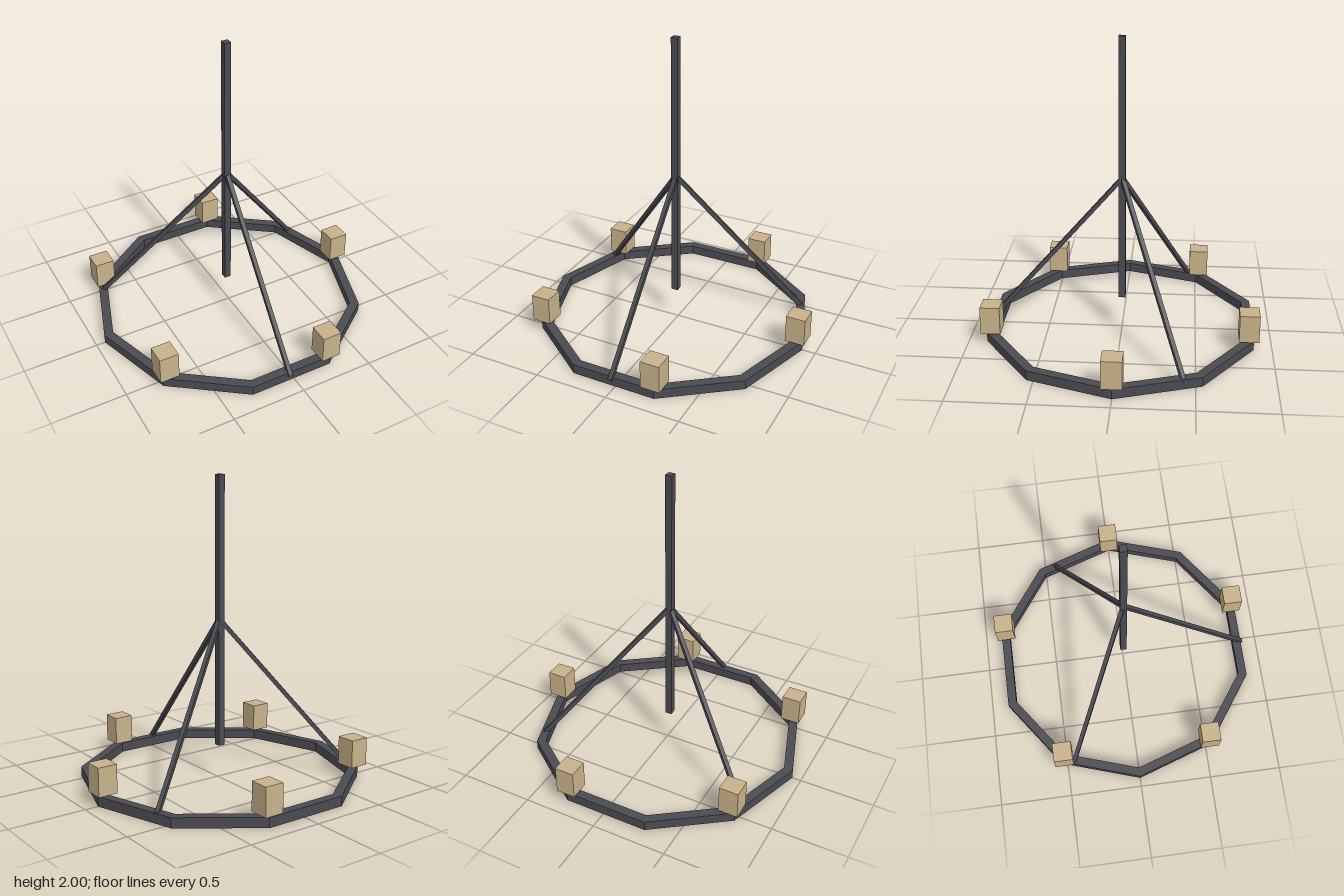
import * as THREE from 'three';

export function createModel() {
  const group = new THREE.Group();
  const metal = new THREE.MeshStandardMaterial({ color: 0x4a4a52 });
  metal.name = 'dark metal';
  const wood = new THREE.MeshStandardMaterial({ color: 0xc9b28a });
  wood.name = 'pale wood';
  const CX = -0.015; // axis of the pole and ring

  function add(name, geometry, material, x = 0, y = 0, z = 0) {
    const mesh = new THREE.Mesh(geometry, material);
    mesh.name = name;
    mesh.position.set(x, y, z);
    group.add(mesh);
    return mesh;
  }

  // Ten-sided base ring
  const decagon = (r) => Array.from({ length: 10 }, (_, i) => {
    const a = (i * Math.PI) / 5;
    return new THREE.Vector2(r * Math.cos(a), r * Math.sin(a));
  });
  const outline = new THREE.Shape(decagon(0.925));
  outline.holes.push(new THREE.Path(decagon(0.862)));
  const ring = new THREE.ExtrudeGeometry(outline, { depth: 0.065, bevelEnabled: false });
  ring.rotateX(-Math.PI / 2);
  add('baseRing', ring, metal, CX);

  // Central pole, hanging clear of the ground
  add('pole', new THREE.BoxGeometry(0.045, 1.78, 0.045), metal, CX - 0.002, 1.11, 0);

  // Three struts from the pole down to the ring
  for (let i = 0; i < 3; i++) {
    const a = THREE.MathUtils.degToRad(91 + i * 120);
    const top = new THREE.Vector3(CX, 1.07, 0);
    const foot = new THREE.Vector3(CX + 0.885 * Math.cos(a), 0.04, 0.885 * Math.sin(a));
    const strut = add('strut' + (i + 1), new THREE.BoxGeometry(0.028, 0.028, top.distanceTo(foot)), metal);
    strut.position.copy(top).add(foot).multiplyScalar(0.5);
    strut.lookAt(foot);
  }

  // Five blocks floating just above alternate corners
  for (let i = 0; i < 5; i++) {
    const a = (i * Math.PI * 2) / 5;
    add('block' + (i + 1), new THREE.BoxGeometry(0.13, 0.188, 0.13), wood,
      CX + 0.888 * Math.cos(a), 0.177, 0.888 * Math.sin(a));
  }

  return group;
}
